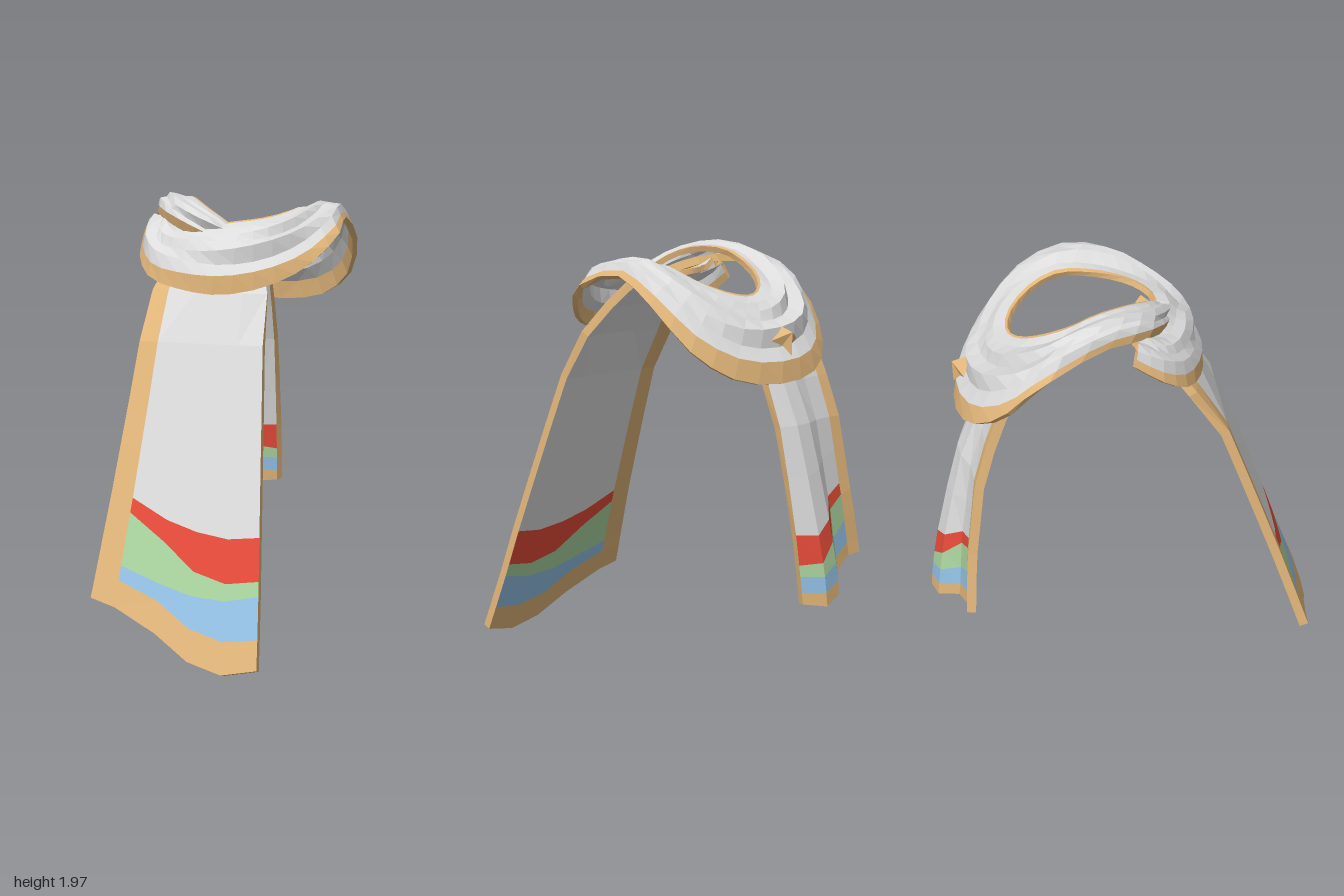
import * as THREE from 'three';

const material = (name, color) => {
  const m = new THREE.MeshStandardMaterial({ color, flatShading: true });
  m.name = name;
  return m;
};
const V = (x, y, z) => new THREE.Vector3(x, y, z);
const clamp01 = k => Math.min(1, Math.max(0, k));

// Piecewise linear lookup in [key, value] pairs with rising keys
function lookup(table, k) {
  for (let i = 1; i < table.length; i++) {
    const [k0, v0] = table[i - 1], [k1, v1] = table[i];
    if (k <= k1) return v0 + (v1 - v0) * Math.max(0, (k - k0) / (k1 - k0));
  }
  return table[table.length - 1][1];
}

// Thick cloth from a grid of points; colourOf(row, column) picks the material of a cell
function cloth(name, grid, thickness, mats, colourOf) {
  const R = grid.length - 1, C = grid[0].length - 1;
  const top = [], bottom = [];
  grid.forEach((row, i) => {
    top.push([]); bottom.push([]);
    row.forEach((p, j) => {
      const du = grid[Math.min(i + 1, R)][j].clone().sub(grid[Math.max(i - 1, 0)][j]);
      const dv = row[Math.min(j + 1, C)].clone().sub(row[Math.max(j - 1, 0)]);
      const n = dv.cross(du).normalize().multiplyScalar(thickness / 2);
      top[i].push(p.clone().add(n));
      bottom[i].push(p.clone().sub(n));
    });
  });
  const buckets = {};
  const quad = (key, a, b, c, d) => {
    const list = (buckets[key] ||= []);
    for (const p of [a, b, c, a, c, d]) list.push(p.x, p.y, p.z);
  };
  for (let i = 0; i < R; i++) for (let j = 0; j < C; j++) {
    const key = colourOf(i, j);
    quad(key, top[i][j], top[i][j + 1], top[i + 1][j + 1], top[i + 1][j]);
    quad(key, bottom[i][j], bottom[i + 1][j], bottom[i + 1][j + 1], bottom[i][j + 1]);
  }
  // hemmed edges all round
  for (let i = 0; i < R; i++) {
    quad('gold', top[i][0], top[i + 1][0], bottom[i + 1][0], bottom[i][0]);
    quad('gold', top[i + 1][C], top[i][C], bottom[i][C], bottom[i + 1][C]);
  }
  for (let j = 0; j < C; j++) {
    quad('gold', top[0][j + 1], top[0][j], bottom[0][j], bottom[0][j + 1]);
    quad('gold', top[R][j], top[R][j + 1], bottom[R][j + 1], bottom[R][j]);
  }
  const group = new THREE.Group();
  group.name = name;
  for (const key in buckets) {
    const g = new THREE.BufferGeometry();
    g.setAttribute('position', new THREE.Float32BufferAttribute(buckets[key], 3));
    g.computeVertexNormals();
    const mesh = new THREE.Mesh(g, mats[key]);
    mesh.name = `${name} ${key}`;
    group.add(mesh);
  }
  return group;
}

// Hanging end: each row lists heights across the width, from the bottom hem upwards
const across = [0, 0.15, 0.4, 0.6, 0.8, 1];
const bands = ['gold', 'blue', 'green', 'red'];
function tail(name, rows, left, right, depth, mats) {
  const grid = rows.map(row => across.map((t, j) => {
    const y = Array.isArray(row) ? row[j] : row;
    const x = lookup(left, y) * (1 - t) + lookup(right, y) * t;
    return V(x, y, depth(y, j));
  }));
  return cloth(name, grid, 0.042, mats, (i, j) => (j === 0 ? 'gold' : bands[i] || 'grey'));
}

// Collar edges, starting under the overlap and winding past a full turn: [outer xyz, inner xyz]
const collarEdges = [
  [-0.42, 1.80, -0.01, -0.21, 1.85, -0.03],
  [-0.40, 1.70, 0.12, -0.20, 1.84, 0.02],
  [-0.32, 1.62, 0.23, -0.16, 1.83, 0.06],
  [-0.15, 1.58, 0.31, -0.07, 1.84, 0.10],
  [0.03, 1.565, 0.33, 0.04, 1.86, 0.12],
  [0.22, 1.60, 0.285, 0.13, 1.87, 0.07],
  [0.38, 1.68, 0.17, 0.19, 1.88, -0.02],
  [0.485, 1.80, 0.03, 0.225, 1.89, -0.15],
  [0.465, 1.87, -0.20, 0.23, 1.89, -0.28],
  [0.475, 1.76, -0.42, 0.20, 1.84, -0.40],
  [0.41, 1.57, -0.60, 0.10, 1.79, -0.49],
  [0.25, 1.45, -0.71, -0.02, 1.77, -0.51],
  [0.00, 1.42, -0.76, -0.12, 1.79, -0.47],
  [-0.25, 1.46, -0.71, -0.20, 1.84, -0.38],
  [-0.42, 1.58, -0.58, -0.24, 1.90, -0.25],
  [-0.475, 1.75, -0.42, -0.23, 1.94, -0.15],
  [-0.40, 1.88, -0.15, -0.18, 1.945, -0.02],
  [-0.31, 1.87, 0.04, -0.10, 1.91, 0.06],
  [-0.15, 1.81, 0.14, 0.00, 1.85, 0.09],
  [0.02, 1.74, 0.15, 0.08, 1.78, 0.08],
];

function collar(mats) {
  const outer = new THREE.CatmullRomCurve3(collarEdges.map(e => V(e[0], e[1], e[2])));
  const inner = new THREE.CatmullRomCurve3(collarEdges.map(e => V(e[3], e[4], e[5])));
  const ts = [0, 0.04, 0.18, 0.3, 0.42, 0.55, 0.68, 0.84, 1];
  const steps = 40, grid = [];
  for (let i = 0; i <= steps; i++) {
    const u = i / steps, o = outer.getPoint(u), n = inner.getPoint(u);
    const out = V(o.x, 0, o.z + 0.22).normalize();
    grid.push(ts.map((t, j) => {
      const swell = Math.sin(Math.PI * t);
      // soft folds that swap sides along the wrap
      const fold = 0.012 * swell * (j % 2 ? 1 : -1) * (0.4 + Math.sin(u * 17 + j * 0.6));
      const p = n.clone().lerp(o, t).addScaledVector(out, 0.05 * swell + fold);
      p.y += 0.05 * swell + fold;
      return p;
    }));
  }
  const last = ts.length - 2;
  return cloth('collar', grid, 0.026, mats, (i, j) => (j === 0 || j === last ? 'gold' : 'grey'));
}

export function createModel() {
  const mats = {
    grey: material('light grey cloth', 0xdcdcdc),
    gold: material('gold trim', 0xe2b67a),
    red: material('red stripe', 0xe94c3a),
    green: material('green stripe', 0xabd5a0),
    blue: material('blue stripe', 0x94c2e6),
  };
  const model = new THREE.Group();
  model.name = 'scarf';
  model.add(collar(mats));

  // long front end, its sides curling back where it passes under the collar
  const frontDepth = [[0.02, 0.91], [0.3, 0.8], [0.6, 0.695], [1, 0.545], [1.35, 0.41],
    [1.58, 0.295], [1.7, 0.2], [1.8, 0.1]];
  const curl = [0.05, 0.035, 0, 0, 0, 0.03];
  model.add(tail('frontTail', [
    [0.28, 0.25, 0.16, 0.06, 0.02, 0.05],
    [0.38, 0.36, 0.29, 0.19, 0.15, 0.17],
    [0.46, 0.42, 0.36, 0.32, 0.31, 0.34],
    [0.68, 0.64, 0.53, 0.42, 0.38, 0.40],
    [0.74, 0.70, 0.62, 0.58, 0.56, 0.575],
    [0.92, 0.9, 0.86, 0.83, 0.82, 0.83], 1.1, 1.35, 1.56, 1.7, 1.81,
  ], [[0.28, -0.41], [0.7, -0.365], [1.1, -0.33], [1.56, -0.295], [1.81, -0.2]],
  [[0.06, 0.36], [0.57, 0.32], [1.1, 0.275], [1.6, 0.23], [1.81, 0.12]],
  (y, j) => lookup(frontDepth, y) - curl[j] * clamp01((y - 1.35) / 0.25), mats));

  // short back end with a wavy hem
  const backDepth = [[0.45, -0.84], [0.85, -0.79], [1.25, -0.71], [1.5, -0.61], [1.7, -0.5]];
  const wave = [0.065, 0.07, 0.04, -0.05, -0.075, -0.03];
  model.add(tail('backTail', [
    [0.59, 0.585, 0.54, 0.47, 0.44, 0.46],
    [0.66, 0.645, 0.60, 0.53, 0.50, 0.51],
    [0.77, 0.75, 0.69, 0.61, 0.57, 0.58],
    [0.89, 0.87, 0.82, 0.70, 0.63, 0.63],
    [0.94, 0.92, 0.88, 0.80, 0.75, 0.76],
    [1.08, 1.07, 1.05, 1.02, 1, 1], 1.22, 1.4, 1.55, 1.68,
  ], [[0.59, -0.5], [0.9, -0.45], [1.2, -0.42], [1.6, -0.37]],
  [[0.45, 0], [1.6, 0.02]],
  (y, j) => lookup(backDepth, y) + wave[j] * clamp01((1.7 - y) / 1.1), mats));

  // four-pointed star pin on the back of the collar
  const star = new THREE.ConeGeometry(0.08, 0.06, 8);
  const p = star.attributes.position;
  for (let i = 0; i < p.count; i++) {
    const k = Math.round(Math.atan2(p.getX(i), p.getZ(i)) / (Math.PI / 4));
    if (k % 2) p.setXYZ(i, p.getX(i) * 0.5, p.getY(i), p.getZ(i) * 0.5);
  }
  star.computeVertexNormals();
  const pin = new THREE.Mesh(star, mats.gold);
  pin.name = 'starPin';
  pin.position.set(-0.03, 1.62, -0.745);
  pin.rotation.x = -0.95;
  model.add(pin);
  return model;
}
